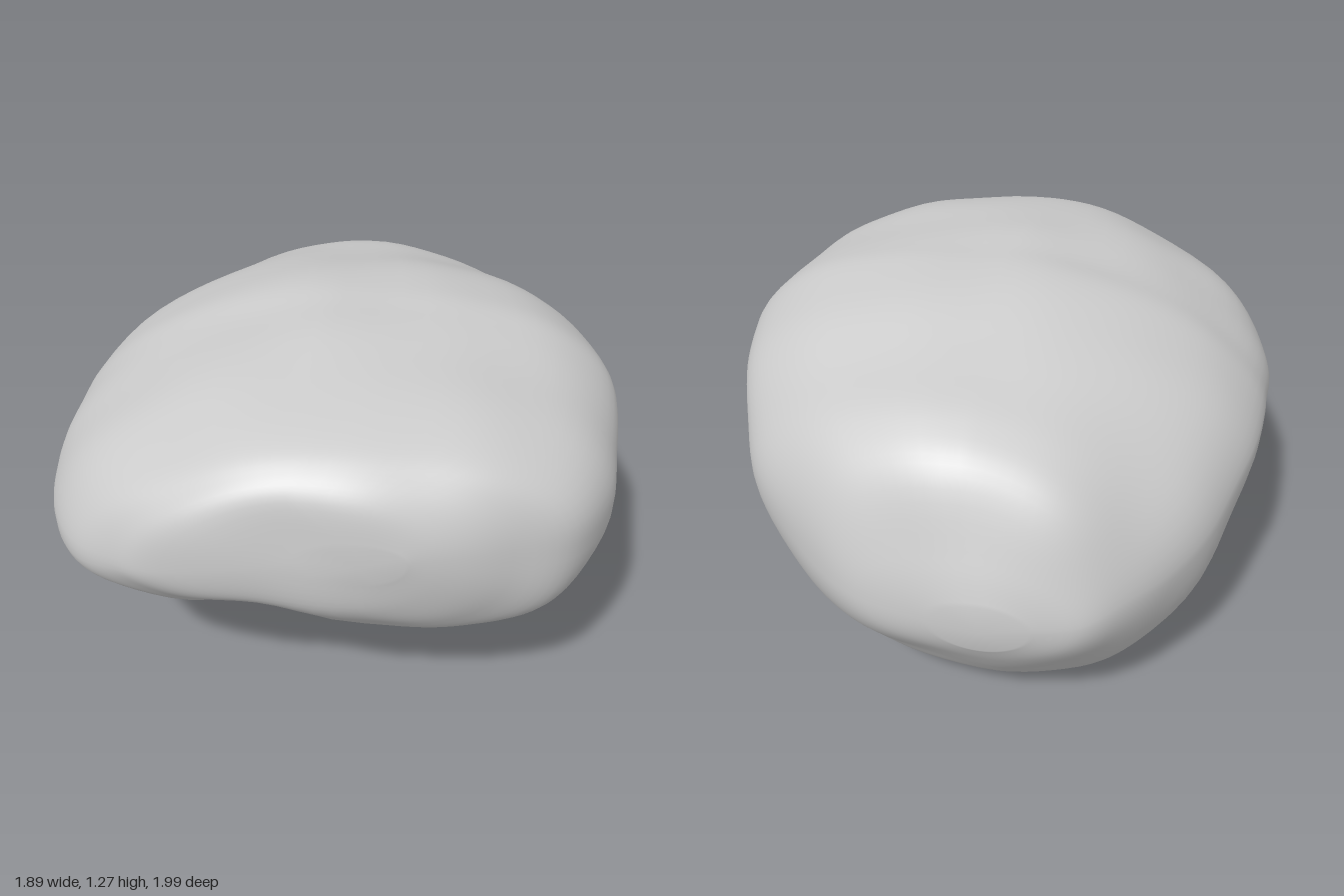
import * as THREE from 'three';

// Cross-sections from front to back:
// z, right x, right y, left x, left y, top y, bottom x, bottom y, lower-right and lower-left roundness
const SECTIONS = [
  [0.99, -0.05, 0.86, 0.25, 0.87, 0.93, 0.15, 0.8, 2, 2],
  [0.965, -0.47, 0.78, 0.36, 0.86, 1.06, 0.1, 0.67, 2.2, 2.2],
  [0.9, -0.64, 0.75, 0.56, 0.84, 1.13, 0.2, 0.57, 2.3, 2.4],
  [0.8, -0.78, 0.73, 0.75, 0.83, 1.175, 0.28, 0.48, 2.4, 2.6],
  [0.6, -0.9, 0.72, 0.87, 0.82, 1.22, 0.25, 0.425, 2.7, 2.7],
  [0.38, -0.945, 0.71, 0.92, 0.82, 1.245, -0.2, 0.37, 2.7, 2.8],
  [0.18, -0.935, 0.74, 0.94, 0.83, 1.257, -0.25, 0.26, 2.1, 2.1],
  [0.0, -0.92, 0.77, 0.93, 0.84, 1.262, -0.2, 0.14, 1.8, 1.5],
  [-0.25, -0.885, 0.74, 0.87, 0.83, 1.225, -0.17, 0.075, 1.85, 1.65],
  [-0.5, -0.8, 0.66, 0.76, 0.73, 1.155, -0.15, 0.0, 1.95, 1.85],
  [-0.7, -0.67, 0.59, 0.61, 0.66, 1.1, -0.14, 0.09, 2, 2],
  [-0.84, -0.55, 0.58, 0.46, 0.6, 1.0, -0.13, 0.25, 2, 2],
  [-0.94, -0.43, 0.56, 0.27, 0.57, 0.77, -0.12, 0.38, 2, 2],
  [-0.985, -0.28, 0.55, 0.02, 0.55, 0.64, -0.13, 0.46, 2, 2],
];

// Soft hollows and swellings: centre, radii, push
const DENTS = [
  { at: [-0.2, 0.52, 0.8], size: [0.18, 0.15, 0.28], push: [0, 0.06, 0] },
  { at: [0.8, 0.52, 0.0], size: [0.32, 0.14, 0.18], push: [-0.07, 0.03, 0] },
  { at: [0.83, 0.66, -0.24], size: [0.28, 0.14, 0.16], push: [-0.07, 0.01, 0] },
  { at: [0.65, 0.4, -0.34], size: [0.25, 0.18, 0.18], push: [0.04, 0, 0.01] },
  { at: [0.65, 0.8, -0.62], size: [0.2, 0.25, 0.18], push: [0.02, 0, -0.01] },
];

// Smooth interpolation of one column through the sections
function sample(col, u) {
  const last = SECTIONS.length - 1;
  const i = Math.min(Math.floor(u), last - 1), f = u - i;
  const at = (k) => SECTIONS[Math.max(0, Math.min(last, k))][col];
  const [a, b, c, d] = [at(i - 1), at(i), at(i + 1), at(i + 2)];
  return b + 0.5 * f * (c - a + f * (2 * a - 5 * b + 4 * c - d + f * (3 * (b - c) + d - a)));
}

// Point on a section made of four superelliptic quarters
function sectionPoint(u, t) {
  const [z, xR, yR, xL, yL, yT, xB, yB, nR, nL] = SECTIONS[0].map((_, col) => sample(col, u));
  const c = Math.cos(t), s = Math.sin(t), up = s >= 0, left = c >= 0;
  const n = up ? (left ? 2.25 : 1.75) : left ? nL : nR;
  const p = Math.abs(c) ** (2 / n), q = Math.abs(s) ** (2 / n);
  const mx = up ? (xR + xL) / 2 : xB, my = left ? yL : yR;
  return new THREE.Vector3(
    mx + ((left ? xL : xR) - mx) * p,
    my + ((up ? yT : yB) - my) * q,
    z
  );
}

// Hollows plus a faint uneven surface
function weather(v) {
  const { x, y, z } = v;
  for (const { at, size, push } of DENTS) {
    const d = ((x - at[0]) / size[0]) ** 2 + ((y - at[1]) / size[1]) ** 2 + ((z - at[2]) / size[2]) ** 2;
    v.addScaledVector(new THREE.Vector3(...push), Math.exp(-d));
  }
  const bump = Math.sin(11 * x + 5 * z) * Math.sin(9 * z - 6 * x + 4 * y) + 0.6 * Math.sin(13 * y + 9 * x - 7 * z);
  const out = new THREE.Vector3(x, y - 0.65, z).normalize();
  return v.addScaledVector(out, 0.005 * bump);
}

function rockGeometry(rings = 78, sides = 72) {
  const pos = [], index = [];
  const addPoint = (v) => pos.push(...weather(v).toArray()) / 3 - 1;
  for (let i = 0; i <= rings; i++) {
    const u = (i / rings) * (SECTIONS.length - 1);
    for (let j = 0; j < sides; j++) addPoint(sectionPoint(u, (j / sides) * Math.PI * 2));
  }
  for (let i = 0; i < rings; i++) {
    for (let j = 0; j < sides; j++) {
      const k = (j + 1) % sides;
      const a = i * sides + j, b = i * sides + k;
      index.push(a, a + sides, b, b, a + sides, b + sides);
    }
  }
  // Close both ends
  const front = addPoint(new THREE.Vector3(0.12, 0.86, 0.995));
  const back = addPoint(new THREE.Vector3(-0.13, 0.55, -1));
  for (let j = 0; j < sides; j++) {
    const k = (j + 1) % sides;
    index.push(front, j, k, back, rings * sides + k, rings * sides + j);
  }
  const geometry = new THREE.BufferGeometry();
  geometry.setAttribute('position', new THREE.Float32BufferAttribute(pos, 3));
  geometry.setIndex(index);
  geometry.computeVertexNormals();
  return geometry;
}

export function createModel() {
  const group = new THREE.Group();
  group.name = 'boulder';
  const rock = new THREE.Mesh(rockGeometry(), new THREE.MeshStandardMaterial({ color: 0xcccccc }));
  rock.name = 'rock';
  // Rest the lowest point on the ground
  rock.geometry.computeBoundingBox();
  rock.position.y = -rock.geometry.boundingBox.min.y;
  group.add(rock);
  return group;
}
